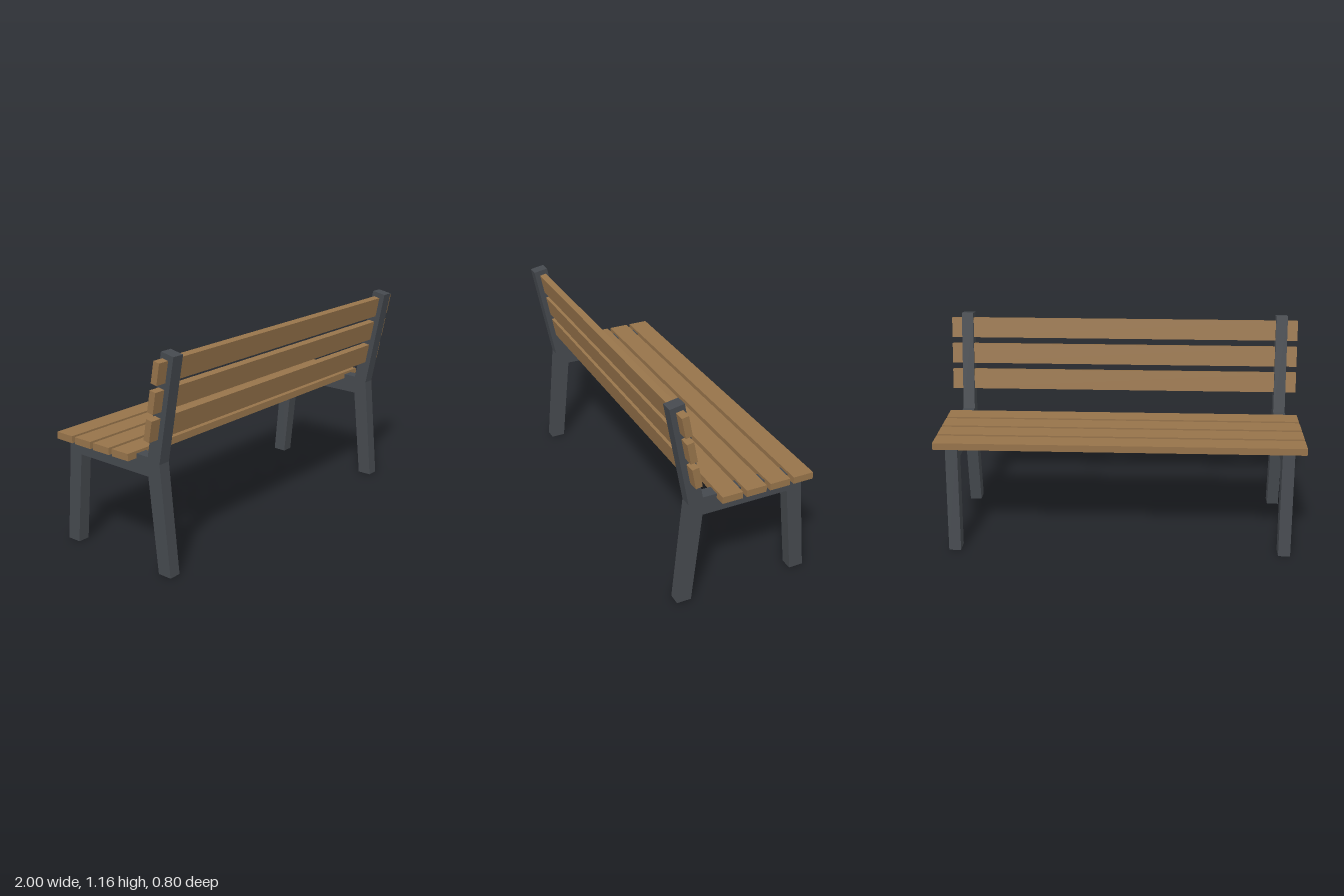
import * as THREE from 'three';

const wood = new THREE.MeshStandardMaterial({ name: 'wood', color: 0x96734a });
const iron = new THREE.MeshStandardMaterial({ name: 'darkIron', color: 0x45494e });

// Side frame outline as (z, y): rear leg, seat rail, front leg and leaning back post
const FRAME = [
  [0.35, 0], [0.293, 0.59], [0.4, 1.147], [0.321, 1.161], [0.215, 0.613],
  [-0.343, 0.613], [-0.4, 0], [-0.32, 0], [-0.268, 0.51], [0.215, 0.51], [0.27, 0],
];
const FRAME_X = 0.907;
const FRAME_WIDTH = 0.066;
const LEAN = 0.19;

function sideFrame(name, x) {
  const shape = new THREE.Shape(FRAME.map(([z, y]) => new THREE.Vector2(z, y)));
  const geometry = new THREE.ExtrudeGeometry(shape, { depth: FRAME_WIDTH, bevelEnabled: false });
  geometry.translate(0, 0, -FRAME_WIDTH / 2);
  geometry.rotateY(-Math.PI / 2);
  const mesh = new THREE.Mesh(geometry, iron);
  mesh.name = name;
  mesh.position.x = x;
  return mesh;
}

function slat(name, height, depth, y, z, tilt = 0) {
  const mesh = new THREE.Mesh(new THREE.BoxGeometry(2, height, depth), wood);
  mesh.name = name;
  mesh.position.set(0, y, z);
  mesh.rotation.x = tilt;
  return mesh;
}

export function createModel() {
  const bench = new THREE.Group();
  bench.name = 'bench';

  bench.add(sideFrame('leftFrame', FRAME_X), sideFrame('rightFrame', -FRAME_X));

  // Four flat seat slats, let slightly into the rails
  for (let i = 0; i < 4; i++) {
    bench.add(slat(`seatSlat${i + 1}`, 0.038, 0.113, 0.608, 0.082 - i * 0.1345));
  }

  // Three back slats set along the leaning posts
  for (let i = 0; i < 3; i++) {
    bench.add(slat(`backSlat${i + 1}`, 0.114, 0.037, 0.777 + i * 0.147, 0.279 + i * 0.029, LEAN));
  }
  return bench;
}
